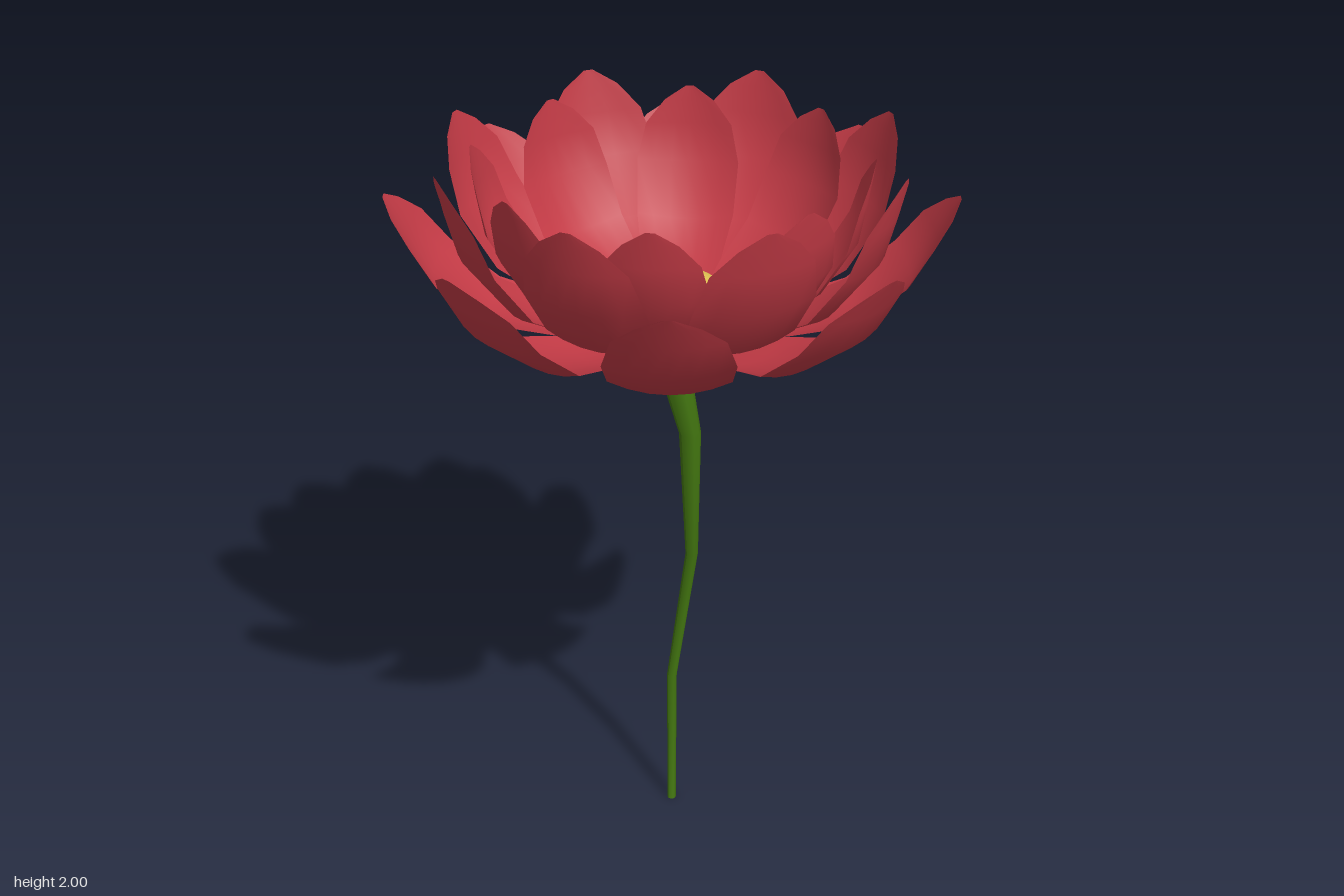
import * as THREE from 'three';

const DEG = Math.PI / 180;

// Petal rows: [length along petal, half width, slope of the stretch leading here, slope of the surface]
const PETAL_ROWS = [
  [0, 0.075, 0, 10],
  [0.16, 0.12, 10, 11],
  [0.326, 0.147, 11, 24],
  [0.50, 0.155, 38, 49],
  [0.62, 0.13, 60, 61],
  [0.69, 0.075, 62, 62],
  [0.732, 0.012, 62, 62],
];

// A cupped petal growing along +x and curling up
function petalGeometry() {
  const cols = 6, rows = PETAL_ROWS.length - 1;
  const geo = new THREE.PlaneGeometry(2, 1, cols, rows);
  const pos = geo.attributes.position;
  let r = 0, y = 0;
  PETAL_ROWS.forEach(([s, w, seg, slope], j) => {
    if (j > 0) {
      const d = s - PETAL_ROWS[j - 1][0];
      r += d * Math.cos(seg * DEG);
      y += d * Math.sin(seg * DEG);
    }
    for (let i = 0; i <= cols; i++) {
      const u = (i / cols) * 2 - 1;
      const lift = 0.035 * (u * w / 0.155) ** 2;
      pos.setXYZ(j * (cols + 1) + i,
        r - Math.sin(slope * DEG) * lift, y + Math.cos(slope * DEG) * lift, u * w);
    }
  });
  geo.computeVertexNormals();
  return geo;
}

// Stem rings from bottom to top: [x, y, z, radius]
const STEM = [
  [0, 0, 0, 0.012],
  [-0.06, 0.38, -0.05, 0.014],
  [0.025, 0.83, -0.05, 0.017],
  [0.045, 1.22, -0.025, 0.029],
  [0, 1.43, 0, 0.044],
];

function stemGeometry() {
  const n = STEM.length - 1;
  const geo = new THREE.CylinderGeometry(1, 1, n, 10, n);
  const pos = geo.attributes.position;
  for (let i = 0; i < pos.count; i++) {
    const [x, y, z, r] = STEM[Math.round(pos.getY(i) + n / 2)];
    pos.setXYZ(i, x + pos.getX(i) * r, y, z + pos.getZ(i) * r);
  }
  geo.computeVertexNormals();
  return geo;
}

export function createModel() {
  const red = new THREE.MeshStandardMaterial({ color: 0xc23a45, side: THREE.DoubleSide });
  red.name = 'petalRed';
  const yellow = new THREE.MeshStandardMaterial({ color: 0xe0c252 });
  yellow.name = 'centreYellow';
  const green = new THREE.MeshStandardMaterial({ color: 0x427510 });
  green.name = 'stemGreen';

  const model = new THREE.Group();
  model.name = 'flower';
  const add = (name, geo, mat, parent = model) => {
    const mesh = new THREE.Mesh(geo, mat);
    mesh.name = name;
    parent.add(mesh);
    return mesh;
  };

  add('stem', stemGeometry(), green);

  // Green cup under the petals
  const cup = [[0, 1.413], [0.035, 1.415], [0.075, 1.43], [0.115, 1.455], [0.145, 1.48], [0.155, 1.5], [0, 1.5]];
  add('calyx', new THREE.LatheGeometry(cup.map(p => new THREE.Vector2(...p)), 20), green);

  // Domed centre with a flat underside
  const dome = new THREE.SphereGeometry(0.195, 24, 10, 0, Math.PI * 2, 0, Math.PI / 2);
  dome.scale(1, 0.85, 1);
  add('flowerCentre', dome, yellow).position.y = 1.5;
  const under = add('centreUnderside', new THREE.CircleGeometry(0.195, 24), yellow);
  under.rotation.x = Math.PI / 2;
  under.position.y = 1.5;

  // Three rings of eight petals, each ring steeper than the one outside it
  const petal = petalGeometry();
  const rings = [
    { name: 'outerPetal', turn: -5, tilt: 0, size: 1, y: 1.5 },
    { name: 'middlePetal', turn: 17.5, tilt: 15, size: 1, y: 1.5 },
    { name: 'innerPetal', turn: 0, tilt: 20, size: 0.87, y: 1.51 },
  ];
  for (const { name, turn, tilt, size, y } of rings) {
    for (let i = 0; i < 8; i++) {
      const arm = new THREE.Group();
      arm.name = name + 'Arm' + (i + 1);
      arm.rotation.y = -(turn + i * 45) * DEG;
      const mesh = add(name + (i + 1), petal, red, arm);
      mesh.position.set(0.14, y, 0);
      mesh.rotation.z = tilt * DEG;
      mesh.scale.setScalar(size);
      model.add(arm);
    }
  }
  return model;
}
